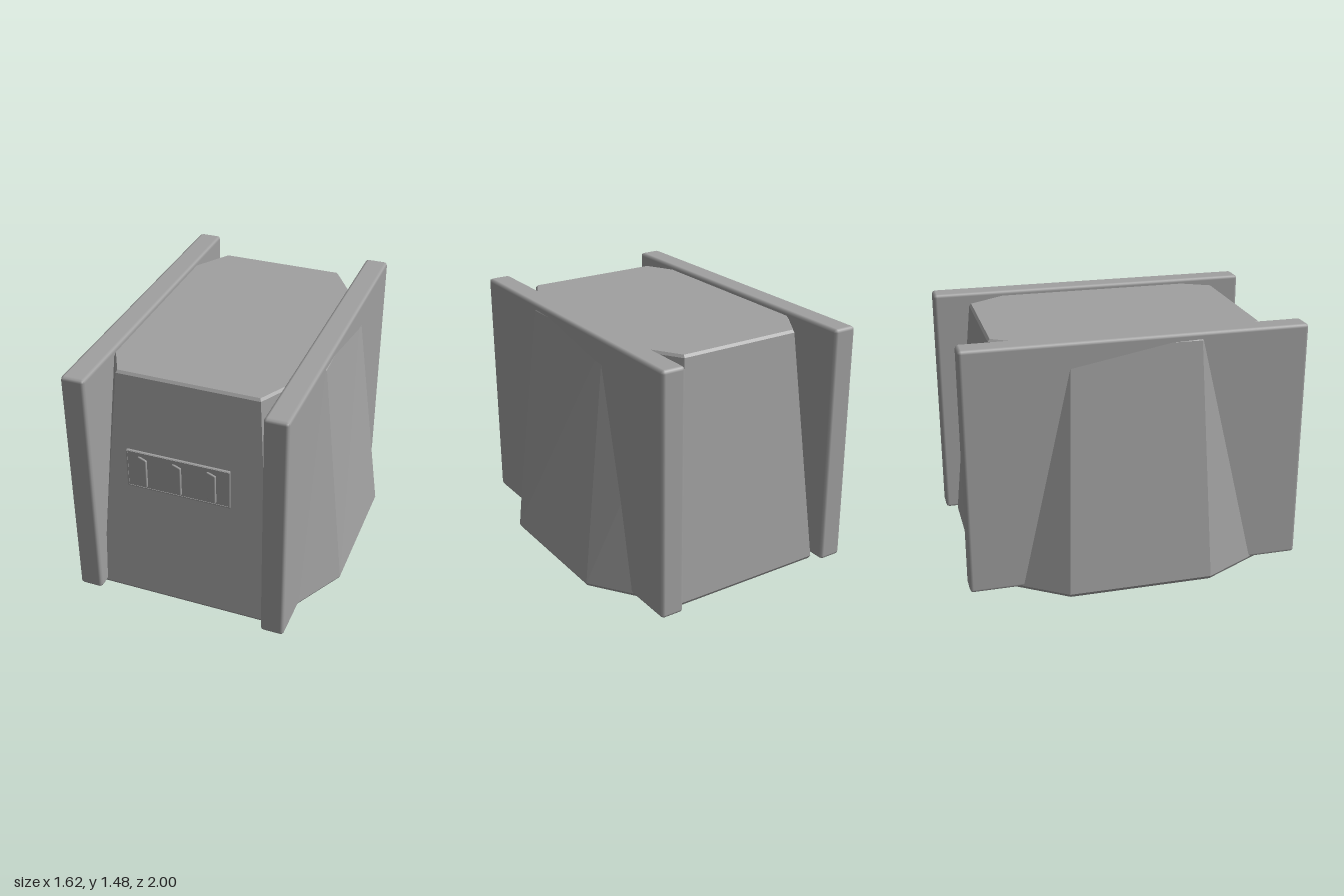
import * as THREE from 'three';
import { RoundedBoxGeometry } from 'three/addons/geometries/RoundedBoxGeometry.js';

// Closed flat-shaded solid from stacked rings [x, y, z], counter-clockwise from above
function loft(rings) {
  const pos = [];
  const tri = (a, b, c) => pos.push(...a, ...b, ...c);
  const n = rings[0].length;
  for (let r = 0; r < rings.length - 1; r++) {
    for (let i = 0; i < n; i++) {
      const j = (i + 1) % n;
      const lo = rings[r], hi = rings[r + 1];
      tri(lo[i], lo[j], hi[j]);
      tri(lo[i], hi[j], hi[i]);
    }
  }
  const bottom = rings[0], top = rings[rings.length - 1];
  for (let i = 1; i < n - 1; i++) {
    tri(bottom[0], bottom[i + 1], bottom[i]);
    tri(top[0], top[i], top[i + 1]);
  }
  const geometry = new THREE.BufferGeometry();
  geometry.setAttribute('position', new THREE.Float32BufferAttribute(pos, 3));
  geometry.computeVertexNormals();
  return geometry;
}

// Mirrors the +x half of an outline (front to back) and scales it slightly
function ring(half, y, scale = 1) {
  const left = half.map(([x, z]) => [x * scale, y, z * scale]);
  const right = half.map(([x, z]) => [-x * scale, y, z * scale]).reverse();
  return [...left, ...right];
}

export function createModel() {
  const group = new THREE.Group();
  const grey = new THREE.MeshStandardMaterial({ color: 0xa0a0a0 });
  grey.name = 'grey';

  const add = (name, geometry, x = 0, y = 0, z = 0) => {
    const mesh = new THREE.Mesh(geometry, grey);
    mesh.name = name;
    mesh.position.set(x, y, z);
    group.add(mesh);
    return mesh;
  };

  // Tapered eight-sided body with narrow bevels at base and top
  const base = [[0.53, 0.92], [0.81, 0.40], [0.81, -0.45], [0.48, -0.93]];
  const roof = [[0.42, 0.79], [0.65, 0.36], [0.633, -0.39], [0.375, -0.8]];
  add('body', loft([
    ring(base, 0, 0.987),
    ring(base, 0.02),
    ring(roof, 1.43),
    ring(roof, 1.445, 0.985),
  ]));

  // Tall side panels
  for (const side of [-1, 1]) {
    add(side > 0 ? 'leftPanel' : 'rightPanel',
      new RoundedBoxGeometry(0.142, 1.46, 2, 1, 0.02), side * 0.575, 0.745, 0);
  }

  // Front vent plate with a raised rim
  add('ventPlate', new RoundedBoxGeometry(0.612, 0.245, 0.016, 1, 0.005), 0, 0.932, 0.942);
  for (const y of [0.817, 1.047]) {
    add('ventRim', new THREE.BoxGeometry(0.6, 0.008, 0.006), 0, y, 0.95);
  }
  for (const x of [-0.3, 0.3]) {
    add('ventRim', new THREE.BoxGeometry(0.008, 0.23, 0.006), x, 0.932, 0.95);
  }

  // Angled vent slats
  for (const x of [-0.203, 0, 0.203]) {
    const slat = add('ventSlat', new RoundedBoxGeometry(0.065, 0.18, 0.014, 1, 0.005), x, 0.935, 0.961);
    slat.rotation.y = -0.4;
  }

  return group;
}
